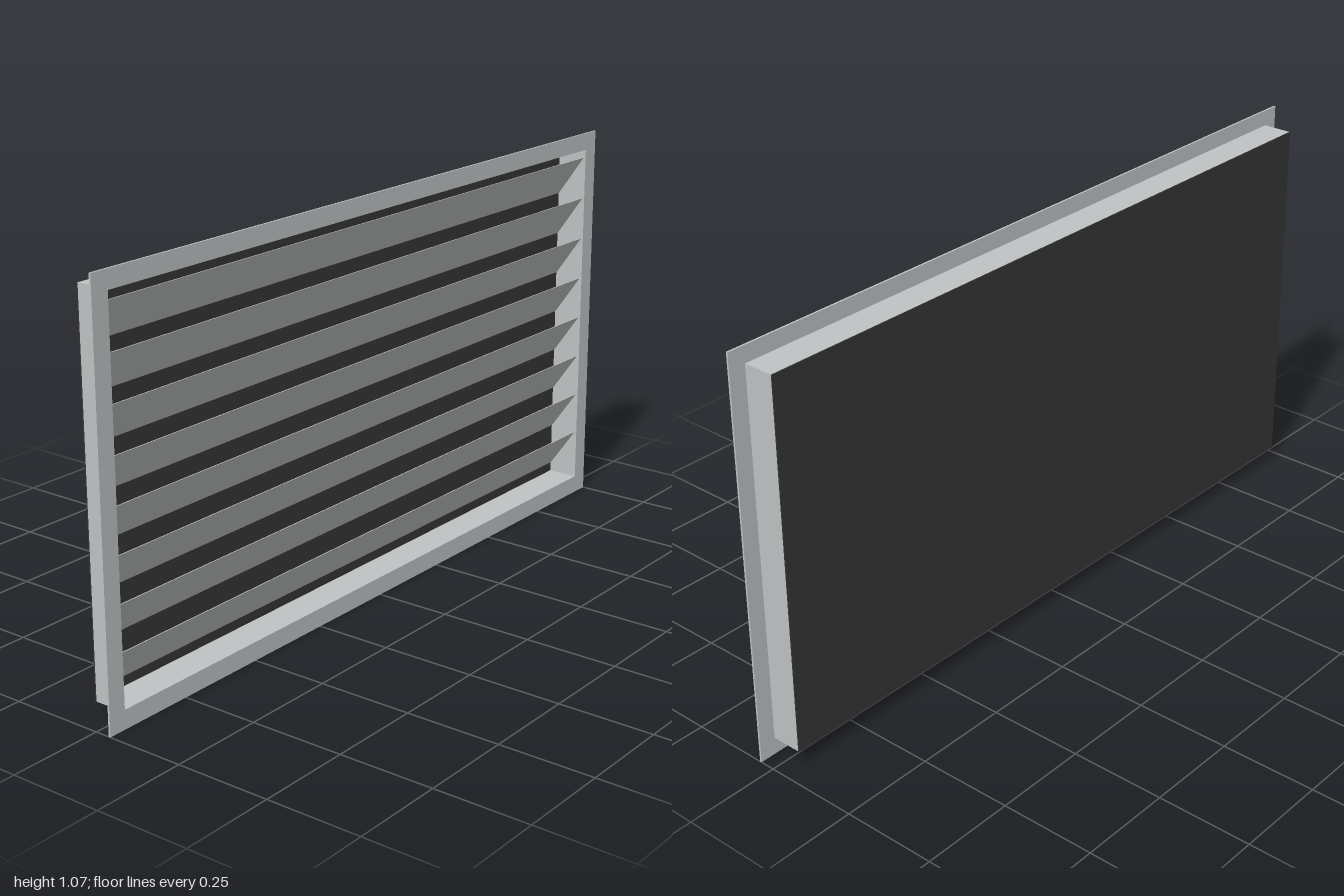
import * as THREE from 'three';

const W = 2, H = 1.07;                       // flange outer size
const SW = 1.91, SY0 = 0.045, SY1 = 1.027;   // sleeve outer size
const WALL = 0.004;
const Z_FRONT = 0.044, Z_FLANGE = 0.039, Z_BACK = -0.044;

// Rectangular ring extruded from z0 to z1
function ring(w, y0, y1, iw, iy0, iy1, z0, z1) {
  const rect = (Type, hw, a, b) => new Type([
    new THREE.Vector2(-hw, a), new THREE.Vector2(hw, a),
    new THREE.Vector2(hw, b), new THREE.Vector2(-hw, b),
  ]);
  const shape = rect(THREE.Shape, w / 2, y0, y1);
  shape.holes.push(rect(THREE.Path, iw / 2, iy0, iy1));
  return new THREE.ExtrudeGeometry(shape, { depth: z1 - z0, bevelEnabled: false }).translate(0, 0, z0);
}

export function createModel() {
  const group = new THREE.Group();
  const aluminium = new THREE.MeshStandardMaterial({ color: 0xbfc3c3 });
  aluminium.name = 'aluminium';
  const dark = new THREE.MeshStandardMaterial({ color: 0x363636 });
  dark.name = 'dark backing';

  const add = (name, geometry, material) => {
    const mesh = new THREE.Mesh(geometry, material);
    mesh.name = name;
    group.add(mesh);
    return mesh;
  };

  const iw = SW - 2 * WALL, iy0 = SY0 + WALL, iy1 = SY1 - WALL;

  // Thin front flange and the sleeve behind it
  add('flange', ring(W, 0, H, iw, iy0, iy1, Z_FLANGE, Z_FRONT), aluminium);
  add('sleeve', ring(SW, SY0, SY1, iw, iy0, iy1, Z_BACK + 0.003, Z_FLANGE), aluminium);

  // Dark panel closing the back
  const backing = add('backPanel', new THREE.BoxGeometry(SW, SY1 - SY0, 0.003), dark);
  backing.position.set(0, (SY0 + SY1) / 2, Z_BACK + 0.0015);

  // Sloping slats: high at the front, low at the back
  const zTop = 0.038, zBottom = -0.04, drop = 0.111, thick = 0.004;
  const profile = new THREE.Shape([
    new THREE.Vector2(-zTop, 0), new THREE.Vector2(-zBottom, -drop),
    new THREE.Vector2(-zBottom, -drop + thick), new THREE.Vector2(-zTop + thick * 0.7, 0),
  ]);
  const slat = new THREE.ExtrudeGeometry(profile, { depth: iw, bevelEnabled: false })
    .translate(0, 0, -iw / 2).rotateY(Math.PI / 2);
  const slats = new THREE.Group();
  slats.name = 'slats';
  for (let i = 0; i < 8; i++) {
    const mesh = new THREE.Mesh(slat, aluminium);
    mesh.name = 'slat';
    mesh.position.y = 1.0 - i * 0.1163;
    slats.add(mesh);
  }
  group.add(slats);

  return group;
}
